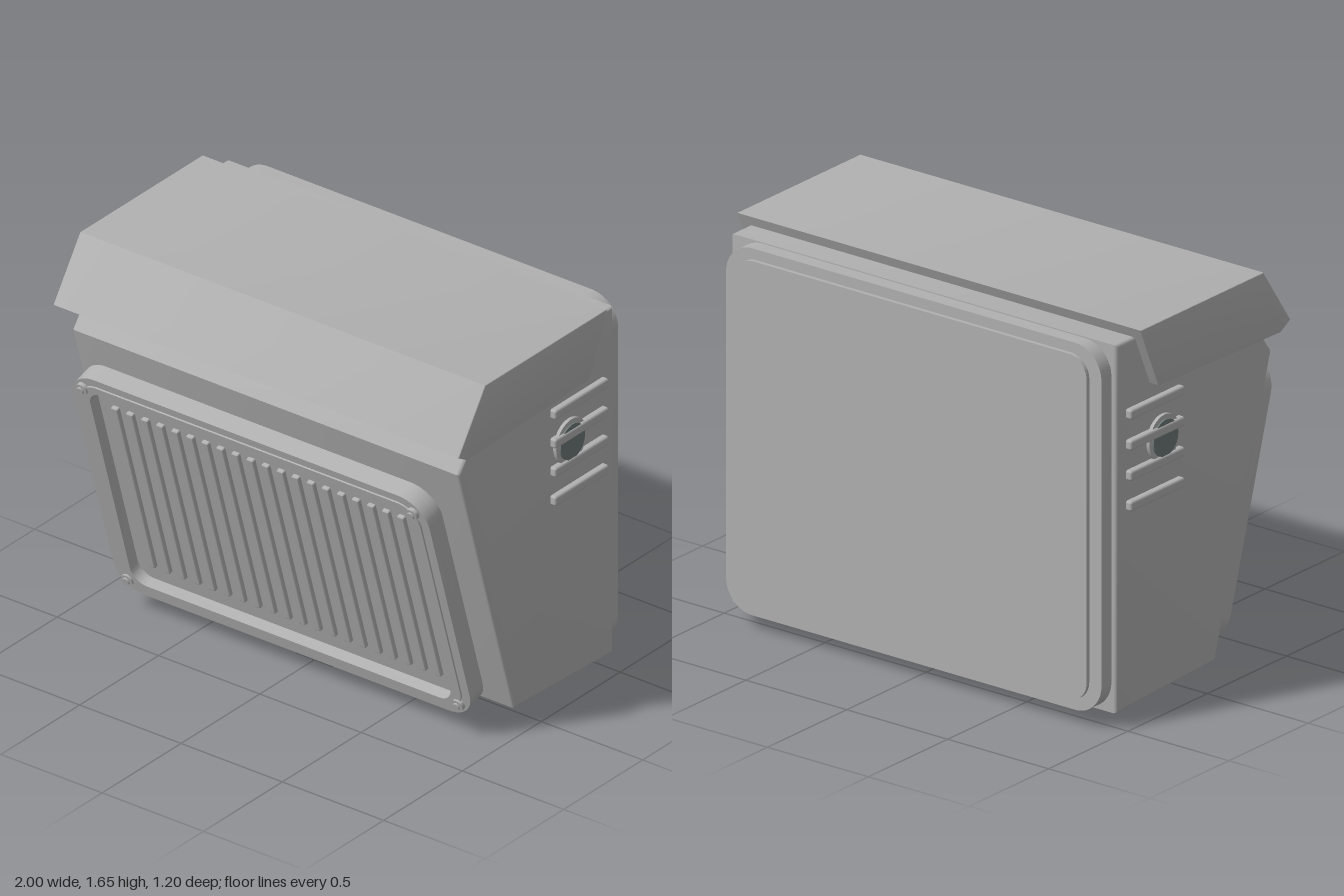
import * as THREE from 'three';
import { toCreasedNormals } from 'three/addons/utils/BufferGeometryUtils.js';
import { RoundedBoxGeometry } from 'three/addons/geometries/RoundedBoxGeometry.js';

const mat = (name, color) => Object.assign(new THREE.MeshStandardMaterial({ color }), { name });

// Rounded rectangle outline from half sizes and corner radius
function roundRect(hw, hh, r, Type = THREE.Shape) {
  const s = new Type();
  s.absarc(hw - r, hh - r, r, 0, Math.PI / 2);
  s.absarc(-hw + r, hh - r, r, Math.PI / 2, Math.PI);
  s.absarc(-hw + r, -hh + r, r, Math.PI, Math.PI * 1.5);
  s.absarc(hw - r, -hh + r, r, Math.PI * 1.5, Math.PI * 2);
  s.closePath();
  return s;
}

// Extrusion from z = 0 to depth, with the bevel kept inside the outline
function extrude(shape, depth, bevel = 0) {
  const geo = new THREE.ExtrudeGeometry(shape, {
    depth: depth - 2 * bevel, curveSegments: 8, bevelEnabled: bevel > 0,
    bevelThickness: bevel, bevelSize: bevel, bevelOffset: -bevel, bevelSegments: 3,
  });
  geo.translate(0, 0, bevel);
  return toCreasedNormals(geo, 0.6);
}

// Extrudes a (z, y) side profile across x, centred
function acrossX(points, width, bevel) {
  const shape = new THREE.Shape(points.map(([z, y]) => new THREE.Vector2(z, y)));
  return extrude(shape, width, bevel).translate(0, 0, -width / 2).rotateY(-Math.PI / 2);
}

export function createModel() {
  const model = new THREE.Group();
  model.name = 'wallLight';
  const grey = mat('housingGrey', 0xb0b0b0);
  const teal = mat('sensorGreyGreen', 0x6c7878);

  function add(parent, name, geo, material, x = 0, y = 0, z = 0) {
    const m = new THREE.Mesh(geo, material);
    m.name = name;
    m.position.set(x, y, z);
    parent.add(m);
    return m;
  }

  // Housing with a sloped front
  add(model, 'housing', acrossX([
    [0.11, 0.09], [0.465, 1.285], [0.39, 1.385], [0.22, 1.61], [-0.515, 1.61], [-0.515, 0.065],
  ].reverse(), 1.91, 0.015), grey);

  // Overhanging hood
  add(model, 'hood', acrossX([
    [0.465, 1.37], [0.525, 1.405], [0.355, 1.655], [-0.42, 1.655], [-0.305, 1.39],
  ].reverse(), 2, 0.004), grey);

  // Wall plate and its raised rear panel
  add(model, 'backPlate', extrude(roundRect(0.93, 0.77, 0.13), 0.07), grey, 0, 0.835, -0.578);
  add(model, 'rearPanel', extrude(roundRect(0.87, 0.725, 0.09), 0.025), grey, 0, 0.835, -0.595);

  // Tilted front cover: local z is the outward normal
  const cover = new THREE.Group();
  cover.name = 'frontCover';
  cover.position.set(0, 0.655, 0.345);
  cover.rotation.x = 0.288;
  model.add(cover);
  add(cover, 'coverBase', extrude(roundRect(0.88, 0.575, 0.13), 0.042), grey);
  const frame = roundRect(0.88, 0.575, 0.13);
  frame.holes.push(roundRect(0.79, 0.51, 0.07, THREE.Path));
  add(cover, 'coverFrame', extrude(frame, 0.043), grey, 0, 0, 0.042);
  const rim = roundRect(0.84, 0.54, 0.1);
  rim.holes.push(roundRect(0.79, 0.51, 0.07, THREE.Path));
  add(cover, 'coverRim', extrude(rim, 0.008), grey, 0, 0, 0.085);

  // Vertical ribs in the recess
  const ribGeo = new RoundedBoxGeometry(0.034, 0.85, 0.03, 1, 0.006);
  for (let i = 0; i < 20; i++) {
    add(cover, 'rib', ribGeo, grey, (i - 9.5) * 0.0743, -0.007, 0.045);
  }

  // Corner screws: washer and hexagonal head
  const washer = new THREE.CylinderGeometry(0.027, 0.027, 0.03, 20).rotateX(Math.PI / 2);
  const head = new THREE.CylinderGeometry(0.017, 0.017, 0.03, 6).rotateX(Math.PI / 2);
  for (const sx of [-1, 1]) for (const sy of [-1, 1]) {
    add(cover, 'screwWasher', washer, grey, sx * 0.815, sy * 0.51, 0.087);
    add(cover, 'screwHead', head, grey, sx * 0.815, sy * 0.51, 0.096);
  }

  // Side fins and round sensor, mirrored
  const finGeo = new RoundedBoxGeometry(0.06, 0.042, 0.34, 2, 0.01);
  const ringGeo = new THREE.CylinderGeometry(0.097, 0.097, 0.04, 32).rotateZ(Math.PI / 2);
  const discGeo = new THREE.CylinderGeometry(0.077, 0.077, 0.04, 32).rotateZ(Math.PI / 2);
  for (const s of [-1, 1]) {
    for (const y of [1.305, 1.176, 1.048, 0.92]) add(model, 'sideFin', finGeo, grey, s * 0.952, y, -0.285);
    add(model, 'sensorRing', ringGeo, grey, s * 0.95, 1.14, -0.23);
    add(model, 'sensorDisc', discGeo, teal, s * 0.957, 1.14, -0.23);
  }

  // Small sensor block below
  add(model, 'bottomSensor', new RoundedBoxGeometry(0.2, 0.068, 0.112, 2, 0.012), teal, 0, 0.034, 0.108);

  return model;
}
